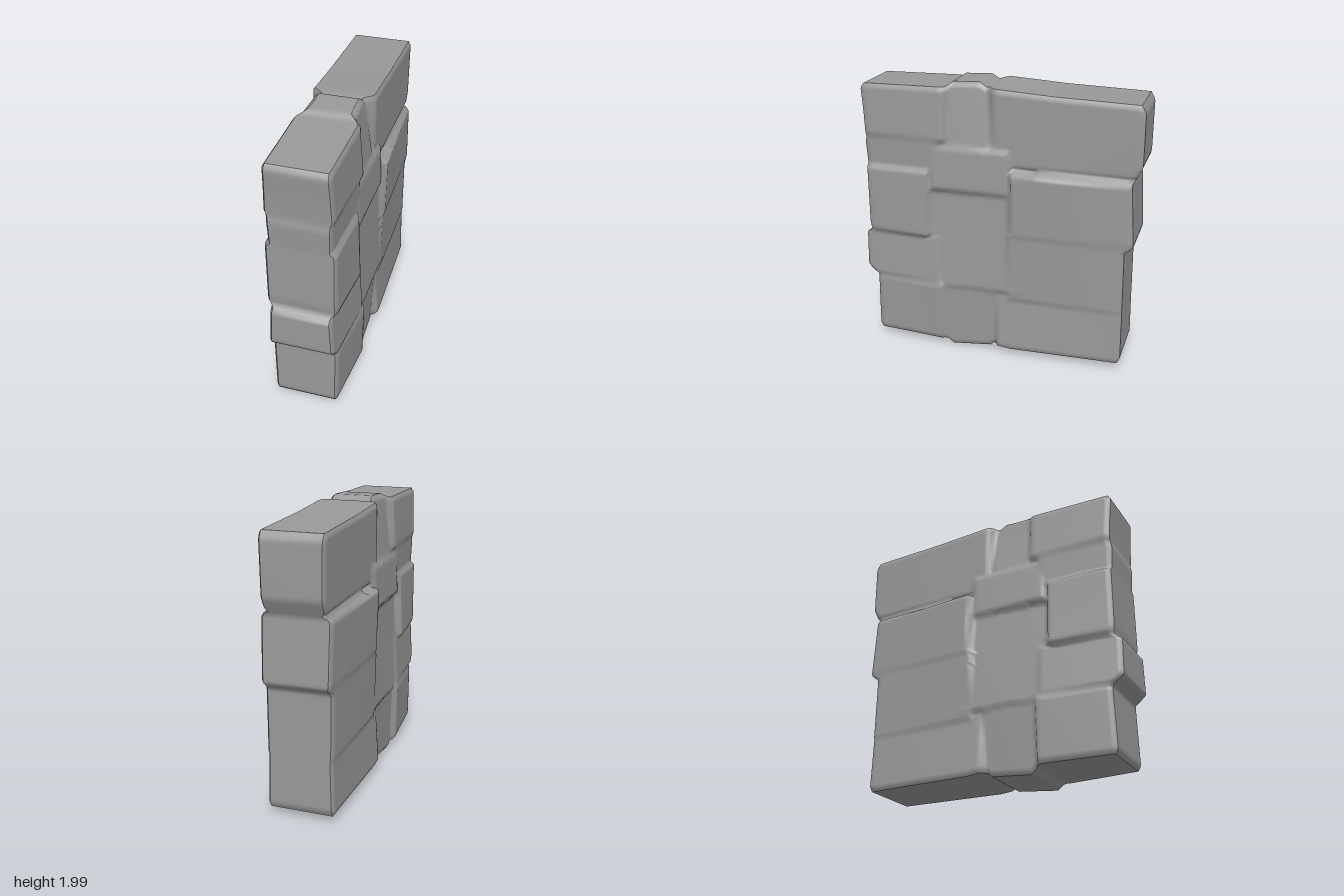
import * as THREE from 'three';

const N = 88; // grid cells across each face

// Piecewise linear lookup through [position, value] pairs
function along(points, t) {
  if (t <= points[0][0]) return points[0][1];
  for (let i = 1; i < points.length; i++) {
    const [a, va] = points[i - 1], [b, vb] = points[i];
    if (t <= b) return va + (vb - va) * (t - a) / (b - a);
  }
  return points[points.length - 1][1];
}

// Uneven outline of the block
const frontEdge = [[0.05, 0.91], [0.08, 0.93], [0.5, 0.92], [0.57, 1], [0.83, 1], [0.86, 0.95], [0.93, 0.96], [1.35, 0.96], [1.53, 0.97], [1.57, 0.96], [1.75, 0.97], [1.92, 0.985], [1.95, 0.96]];
const backEdge = [[0.05, -0.9], [0.09, -0.92], [0.91, -0.91], [0.96, -0.97], [1.41, -0.94], [1.53, -1], [1.9, -1], [1.95, -0.97]];
const topEdge = [[-0.97, 1.93], [-0.4, 1.945], [0.05, 1.97], [0.08, 1.96], [0.13, 1.995], [0.33, 1.985], [0.36, 1.955], [0.98, 1.945]];
const bottomEdge = [[-0.9, 0.05], [-0.12, 0.045], [0.02, 0.06], [0.04, 0.03], [0.34, 0], [0.39, 0.05], [0.91, 0.05]];

// Stones: z range, y range, half thickness at the corners
// (back low, front low, back high, front high), bevel width
const stones = [
  { z: [-1.1, 0.05], y: [1.4, 2.1], h: [0.21, 0.215, 0.22, 0.22], bevel: 0.05 },    // top back
  { z: [0.03, 0.37], y: [1.5, 2.0], h: [0.22, 0.22, 0.15, 0.17], bevel: 0.03 },     // top key
  { z: [0.34, 1.1], y: [1.55, 2.1], h: [0.245, 0.225, 0.21, 0.205], bevel: 0.05 },  // top front
  { z: [-1.1, -0.1], y: [0.93, 1.41], h: [0.23, 0.265, 0.23, 0.28], bevel: 0.025 }, // middle back
  { z: [-0.12, 0.5], y: [1.2, 1.57], h: [0.245, 0.245, 0.235, 0.225], bevel: 0.05 },// upper centre
  { z: [0.48, 1.1], y: [0.85, 1.37], h: [0.27, 0.225, 0.25, 0.23], bevel: 0.03 },   // middle front
  { z: [0.4, 1.1], y: [1.3, 1.6], h: [0.23, 0.2, 0.235, 0.21], bevel: 0.04 },       // front joint
  { z: [-0.2, 0.52], y: [0.48, 1.24], h: [0.25, 0.25, 0.225, 0.205], bevel: 0.02 }, // centre
  { z: [0.4, 1.1], y: [0.49, 0.88], h: [0.265, 0.22, 0.24, 0.2], bevel: 0.03 },     // lower front
  { z: [-1.1, -0.08], y: [0.42, 0.97], h: [0.225, 0.245, 0.225, 0.26], bevel: 0.03 },// lower back
  { z: [-1.1, 0.01], y: [-0.1, 0.52], h: [0.23, 0.27, 0.22, 0.23], bevel: 0.04 },   // bottom back
  { z: [-0.02, 0.42], y: [-0.1, 0.52], h: [0.205, 0.22, 0.235, 0.24], bevel: 0.03 },// bottom centre
  { z: [0.38, 1.1], y: [-0.1, 0.52], h: [0.255, 0.205, 0.275, 0.21], bevel: 0.03 }, // bottom front
];

function halfThickness(z, y) {
  let best = 0.15;
  for (const s of stones) {
    const edge = Math.min(z - s.z[0], s.z[1] - z, y - s.y[0], s.y[1] - y);
    if (edge < 0) continue;
    const u = (z - s.z[0]) / (s.z[1] - s.z[0]), v = (y - s.y[0]) / (s.y[1] - s.y[0]);
    const low = s.h[0] + (s.h[1] - s.h[0]) * u, high = s.h[2] + (s.h[3] - s.h[2]) * u;
    const fall = Math.max(0, 1 - edge / s.bevel);
    best = Math.max(best, low + (high - low) * v - 0.05 * fall * fall);
  }
  return best;
}

// Point on the side face, u from back to front and v from bottom to top
function sidePoint(u, v) {
  const level = 0.05 + 1.9 * v;
  const zb = along(backEdge, level), zf = along(frontEdge, level);
  const z = zb + (zf - zb) * u;
  const yb = along(bottomEdge, z), yt = along(topEdge, z);
  const y = yb + (yt - yb) * v;
  const rim = Math.min(u, v, 1 - u, 1 - v) < 0.5 / N ? 0.015 : 0; // rounded rim
  return [halfThickness(z, y) - rim, y, z];
}

// Smooth sheet whose front faces v cross u
function sheet(nu, nv, point, flip) {
  const positions = [], index = [];
  for (let j = 0; j <= nv; j++)
    for (let i = 0; i <= nu; i++) positions.push(...point(i / nu, j / nv));
  for (let j = 0; j < nv; j++)
    for (let i = 0; i < nu; i++) {
      const a = j * (nu + 1) + i, b = a + 1, c = a + nu + 1, d = c + 1;
      if (flip) index.push(a, b, c, b, d, c);
      else index.push(a, c, b, b, c, d);
    }
  const g = new THREE.BufferGeometry();
  g.setAttribute('position', new THREE.Float32BufferAttribute(positions, 3));
  g.setIndex(index);
  g.computeVertexNormals();
  return g;
}

export function createModel() {
  const group = new THREE.Group();
  group.name = 'stoneWallBlock';
  const stone = new THREE.MeshStandardMaterial({ color: 0x999999 });
  stone.name = 'grey stone';

  const add = (name, geometry) => {
    const mesh = new THREE.Mesh(geometry, stone);
    mesh.name = name;
    group.add(mesh);
  };
  const across = ([x, y, z], s) => [x * (2 * s - 1), y, z];

  // Mirrored stone faces
  add('leftFace', sheet(N, N, sidePoint, false));
  add('rightFace', sheet(N, N, (u, v) => across(sidePoint(u, v), 0), true));
  // Ends, top and underside
  add('frontEnd', sheet(N, 2, (u, v) => across(sidePoint(1, u), v), false));
  add('backEnd', sheet(N, 2, (u, v) => across(sidePoint(0, u), v), true));
  add('topSurface', sheet(2, N, (u, v) => across(sidePoint(v, 1), u), false));
  add('underside', sheet(2, N, (u, v) => across(sidePoint(v, 0), u), true));
  return group;
}
